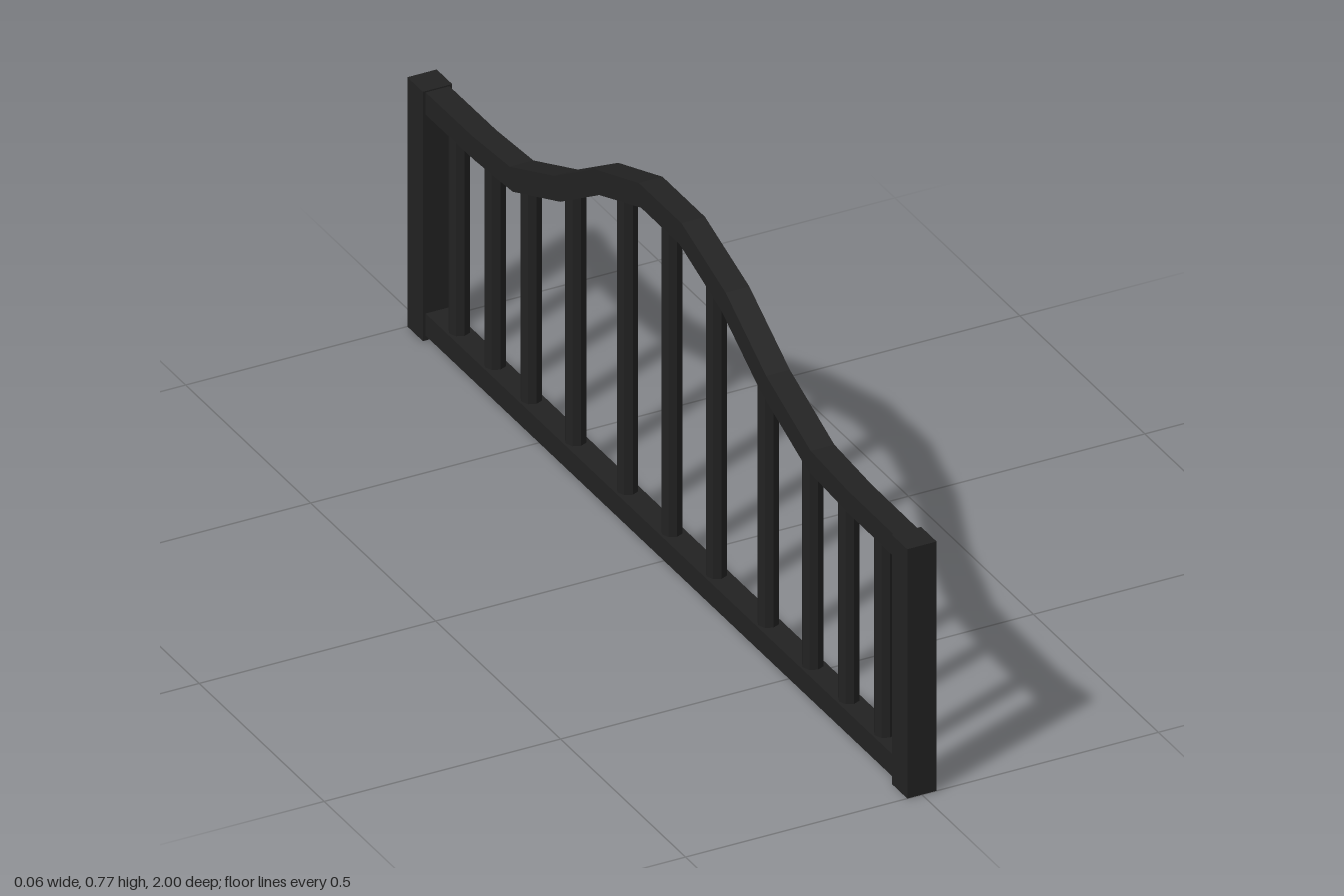
import * as THREE from 'three';

export function createModel() {
  const group = new THREE.Group();
  group.name = 'archedRailing';
  const iron = new THREE.MeshStandardMaterial({ color: 0x222222, flatShading: true });

  const add = (name, geometry, x, y, z) => {
    const mesh = new THREE.Mesh(geometry, iron);
    mesh.name = name;
    mesh.position.set(x, y, z);
    group.add(mesh);
    return mesh;
  };

  // End posts
  const postGeo = new THREE.BoxGeometry(0.062, 0.538, 0.062);
  add('frontPost', postGeo, 0, 0.269, 0.969);
  add('backPost', postGeo, 0, 0.269, -0.969);

  // Bottom rail
  add('bottomRail', new THREE.BoxGeometry(0.05, 0.048, 1.9), 0, 0.034, 0);

  // Arched top rail: half outlines [z, y] from post to centre, mirrored
  const upper = [[0.95, 0.535], [0.75, 0.536], [0.602, 0.546], [0.424, 0.617], [0.262, 0.714], [0.085, 0.774]];
  const lower = [[0.95, 0.487], [0.745, 0.488], [0.59, 0.498], [0.4, 0.573], [0.244, 0.667], [0.077, 0.725]];
  const span = (half) => [...half, ...half.map(([z, y]) => [-z, y]).reverse()];
  const outline = [...span(upper), ...span(lower).reverse()].map(([z, y]) => new THREE.Vector2(z, y));
  const railGeo = new THREE.ExtrudeGeometry(new THREE.Shape(outline), { depth: 0.05, bevelEnabled: false });
  railGeo.translate(0, 0, -0.025).rotateY(-Math.PI / 2);
  add('topRail', railGeo, 0, 0, 0);

  // Balusters, each reaching into the top rail: [z, top]
  const bottom = 0.04;
  const balusters = [[0, 0.74], [0.178, 0.715], [0.385, 0.605], [0.563, 0.53], [0.708, 0.51], [0.851, 0.51]];
  balusters.forEach(([z, top]) => {
    const geo = new THREE.CylinderGeometry(0.021, 0.021, top - bottom, 8);
    const y = (top + bottom) / 2;
    add('baluster', geo, 0, y, z);
    if (z > 0) add('baluster', geo, 0, y, -z);
  });

  return group;
}
